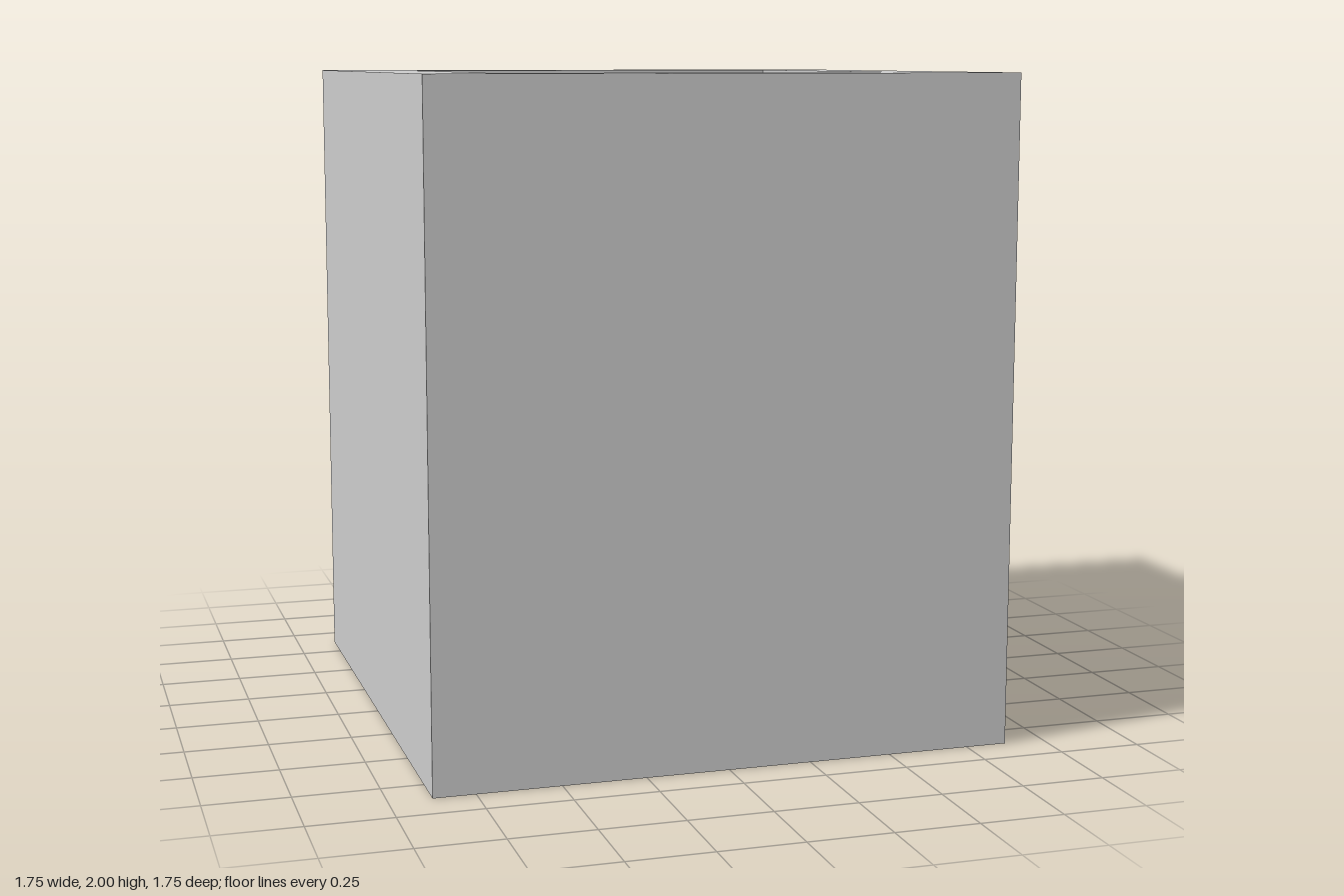
import * as THREE from 'three';

const OUTER = 1.75, INNER = 1.25, HEIGHT = 2;
const FLOOR_BOTTOM = 0.125, FLOOR_THICKNESS = 0.125;

// Adds a square outline, centred on the origin, to a shape or path
function square(path, size) {
  const h = size / 2;
  return path.moveTo(-h, -h).lineTo(h, -h).lineTo(h, h).lineTo(-h, h).closePath();
}

export function createModel() {
  const group = new THREE.Group();
  group.name = 'squarePlanter';
  const material = new THREE.MeshStandardMaterial({ color: 0xcccccc, flatShading: true });

  // Thick square walls, open at top and bottom
  const outline = square(new THREE.Shape(), OUTER);
  outline.holes.push(square(new THREE.Path(), INNER));
  const wallGeometry = new THREE.ExtrudeGeometry(outline, { depth: HEIGHT, bevelEnabled: false });
  wallGeometry.rotateX(-Math.PI / 2);
  const walls = new THREE.Mesh(wallGeometry, material);
  walls.name = 'walls';
  group.add(walls);

  // Floor slab, raised to leave a shallow recess underneath
  const floor = new THREE.Mesh(new THREE.BoxGeometry(INNER, FLOOR_THICKNESS, INNER), material);
  floor.position.y = FLOOR_BOTTOM + FLOOR_THICKNESS / 2;
  floor.name = 'floor';
  group.add(floor);

  return group;
}
